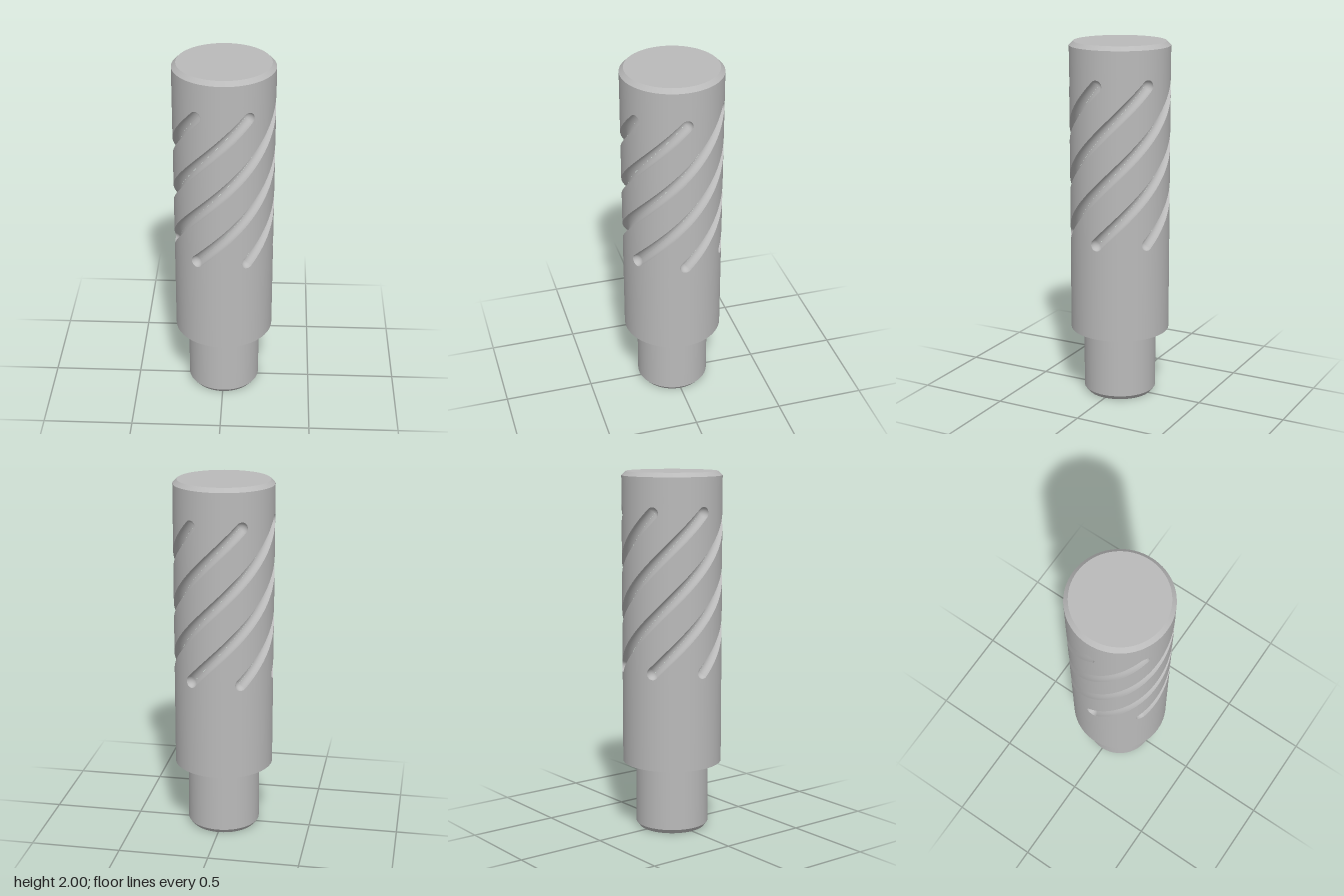
import * as THREE from 'three';

const R = 0.276;                 // body radius
const GROOVE_R = 0.034;          // round cutter radius
const Y0 = 0.923, Y1 = 1.786;    // groove end centres
const MARGIN = 0.06;             // plain wall kept beyond the groove ends
const TWIST = Math.PI, COUNT = 6;
const SIDE_STEPS = 48, END_STEPS = 12;

// Closed loop of [groove edge rule, outer cell edge] around one groove, in
// unwrapped coordinates (s = arc length, y = height).
function cellLoop() {
  const len = TWIST * R, h = Y1 - Y0, d = Math.hypot(len, h);
  const u = [len / d, h / d], n = [-u[1], u[0]];
  const half = (Math.PI / COUNT) * R;
  const loop = [];
  for (const sign of [1, -1]) { // the second half is the first turned by 180 degrees
    const add = (c, dir, outer) => loop.push({
      c: c.map(v => v * sign), dir: dir.map(v => v * sign), outer: outer.map(v => v * sign),
    });
    for (let i = 0; i <= SIDE_STEPS; i++) {
      const t = i / SIDE_STEPS - 0.5;
      add([len * t, h * t], n, [len * t - half, h * t]);
    }
    for (let i = 0; i <= END_STEPS; i++) {
      const f = i / END_STEPS, a = Math.PI * f;
      const dir = [0, 1].map(k => n[k] * Math.cos(a) + u[k] * Math.sin(a));
      add([len / 2, h / 2], dir, [len / 2 + half * (2 * f - 1), h / 2 + MARGIN]);
    }
  }
  return loop;
}

// Wraps rings of [s, y, depth] points onto the cylinder; first ring is outermost.
function wrapRings(rings, radialNormals) {
  const pos = [], nor = [], index = [], count = rings[0].length;
  for (const ring of rings) for (const [s, y, depth] of ring) {
    const a = s / R, r = R - depth;
    pos.push(r * Math.sin(a), y + (Y0 + Y1) / 2, r * Math.cos(a));
    nor.push(Math.sin(a), 0, Math.cos(a));
  }
  for (let k = 0; k < rings.length - 1; k++) for (let j = 0; j < count; j++) {
    const a = k * count + j, b = k * count + (j + 1) % count;
    index.push(b, a, a + count, b, a + count, b + count);
  }
  const g = new THREE.BufferGeometry();
  g.setAttribute('position', new THREE.Float32BufferAttribute(pos, 3));
  g.setIndex(index);
  if (radialNormals) g.setAttribute('normal', new THREE.Float32BufferAttribute(nor, 3));
  else g.computeVertexNormals();
  return g;
}

export function createModel() {
  const model = new THREE.Group();
  model.name = 'groovedPin';
  const steel = new THREE.MeshStandardMaterial({ color: 0xbababa });
  steel.name = 'steel grey';

  const add = (name, geometry, parent = model) => {
    const mesh = new THREE.Mesh(geometry, steel);
    mesh.name = name;
    parent.add(mesh);
    return mesh;
  };

  // Turned surfaces, one band each so that the edges stay sharp
  const bands = [
    ['pinEnd', 0, 0, 0.183, 0],
    ['pinChamfer', 0.183, 0, 0.203, 0.025],
    ['pin', 0.203, 0.025, 0.203, 0.38],
    ['shoulder', 0.203, 0.38, R, 0.38],
    ['lowerBody', R, 0.38, R, Y0 - MARGIN],
    ['upperBody', R, Y1 + MARGIN, R, 1.977],
    ['topChamfer', R, 1.977, 0.253, 2],
    ['topFace', 0.253, 2, 0, 2],
  ];
  for (const [name, r0, y0, r1, y1] of bands) {
    const profile = [new THREE.Vector2(r0, y0), new THREE.Vector2(r1, y1)];
    add(name, new THREE.LatheGeometry(profile, COUNT * END_STEPS));
  }

  // Wall around one groove: rings from the cell edge to the groove rim
  const loop = cellLoop();
  const edge = (p, rho, depth) => [p.c[0] + rho * p.dir[0], p.c[1] + rho * p.dir[1], depth];
  const wallRings = [];
  for (let k = 0; k <= 6; k++) {
    wallRings.push(loop.map(p => {
      const [s, y] = edge(p, GROOVE_R, 0), f = k / 6;
      return [p.outer[0] + (s - p.outer[0]) * f, p.outer[1] + (y - p.outer[1]) * f, 0];
    }));
  }
  const wall = wrapRings(wallRings, true);

  // Groove: rings shrinking from the rim to the bottom of a round channel
  const grooveRings = [];
  for (let k = 0; k <= 8; k++) {
    const a = (k / 8) * Math.PI / 2;
    const rho = Math.max(GROOVE_R * Math.cos(a), 0.0002);
    grooveRings.push(loop.map(p => edge(p, rho, GROOVE_R * Math.sin(a))));
  }
  const groove = wrapRings(grooveRings, false);

  // Six identical helical grooves around the body
  for (let i = 0; i < COUNT; i++) {
    const sector = new THREE.Group();
    sector.name = 'groovedSector' + (i + 1);
    sector.rotation.y = (i * 2 * Math.PI) / COUNT;
    add('bodyWall', wall, sector);
    add('helicalGroove', groove, sector);
    model.add(sector);
  }
  return model;
}
